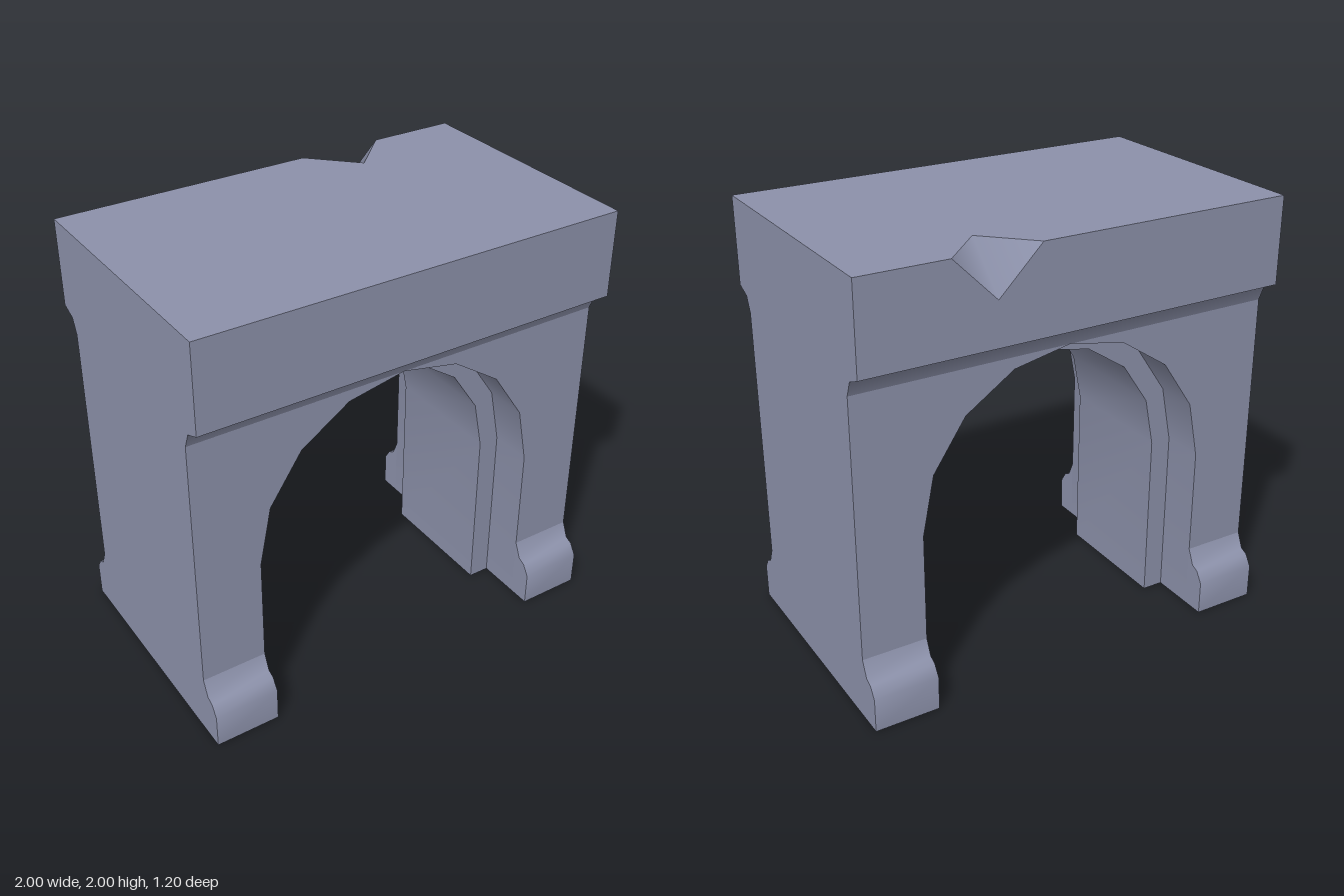
import * as THREE from 'three';
import { mergeGeometries, toCreasedNormals } from 'three/addons/utils/BufferGeometryUtils.js';

const stone = new THREE.MeshStandardMaterial({ color: 0x8c91aa });
stone.name = 'blue grey stone';

const SPRING = 0.8; // height where the arch curve starts
const CREASE = THREE.MathUtils.degToRad(50);

const shapeOf = (pts) => new THREE.Shape(pts.map(([x, y]) => new THREE.Vector2(x, y)));

// Arch outline from right foot over the crown to left foot
function archPoints(radius) {
  const pts = [[radius, 0]];
  for (let i = 0; i <= 8; i++) {
    const a = (i / 8) * Math.PI;
    pts.push([radius * Math.cos(a), SPRING + radius * Math.sin(a)]);
  }
  pts.push([-radius, 0]);
  return pts;
}

// Prism centred on its extrusion axis, smooth along gentle curves
function prism(pts, depth) {
  const g = new THREE.ExtrudeGeometry(shapeOf(pts), { depth, bevelEnabled: false });
  g.translate(0, 0, -depth / 2);
  return toCreasedNormals(g, CREASE);
}

// Moulding: profile given as [z, y], run along x
const moulding = (pts, length) => prism(pts, length).rotateY(-Math.PI / 2);

export function createModel() {
  const model = new THREE.Group();
  model.name = 'stoneArch';
  const add = (name, geometry, x = 0, turn = 0) => {
    const mesh = new THREE.Mesh(geometry, stone);
    mesh.name = name;
    mesh.position.x = x;
    mesh.rotation.y = turn;
    model.add(mesh);
  };

  // Main wall with the wide opening
  add('wall', prism([[-1, 0], [-1, 1.6], [1, 1.6], [1, 0], ...archPoints(0.7)], 1));

  // Narrower rib lining the middle of the opening
  add('innerRib', prism([...archPoints(0.7), ...archPoints(0.6).reverse()], 0.6));

  // Coves and feet on both faces
  const cove = moulding([[0.5, 1.5], [0.529, 1.571], [0.6, 1.6], [0.5, 1.6]], 2);
  const foot = moulding(
    [[0.5, 0], [0.6, 0], [0.6, 0.16], [0.567, 0.212], [0.532, 0.228], [0.5, 0.3]], 0.3);
  for (const [side, turn] of [['front', 0], ['back', Math.PI]]) {
    add(side + 'Cove', cove, 0, turn);
    for (const x of [-0.85, 0.85]) add(side + (x > 0 ? 'LeftFoot' : 'RightFoot'), foot, x, turn);
  }

  // Top block, with a chip missing from its back edge
  const face = (pts) => new THREE.ShapeGeometry(shapeOf(pts));
  const block = mergeGeometries([
    new THREE.PlaneGeometry(2, 0.4).translate(0, 1.8, 0.6),
    new THREE.PlaneGeometry(1.2, 0.4).rotateY(Math.PI / 2).translate(1, 1.8, 0),
    new THREE.PlaneGeometry(1.2, 0.4).rotateY(-Math.PI / 2).translate(-1, 1.8, 0),
    new THREE.PlaneGeometry(2, 1.2).rotateX(Math.PI / 2).translate(0, 1.6, 0),
    face([[-1, -0.6], [1, -0.6], [1, 0.6], [0.6, 0.6], [0.4, 0.4], [0.2, 0.6], [-1, 0.6]])
      .rotateX(-Math.PI / 2).translate(0, 2, 0),
    face([[-1, 1.6], [1, 1.6], [1, 2], [-0.2, 2], [-0.4, 1.8], [-0.6, 2], [-1, 2]])
      .rotateY(Math.PI).translate(0, 0, -0.6),
  ]);
  add('topBlock', block);

  // Two softly blended faces inside the chip
  const chip = new THREE.BufferGeometry();
  chip.setAttribute('position', new THREE.Float32BufferAttribute(
    [0.2, 2, -0.6, 0.6, 2, -0.6, 0.4, 2, -0.4, 0.4, 1.8, -0.6], 3));
  chip.setIndex([0, 2, 3, 1, 3, 2]);
  chip.computeVertexNormals();
  add('chippedEdge', chip);

  return model;
}
